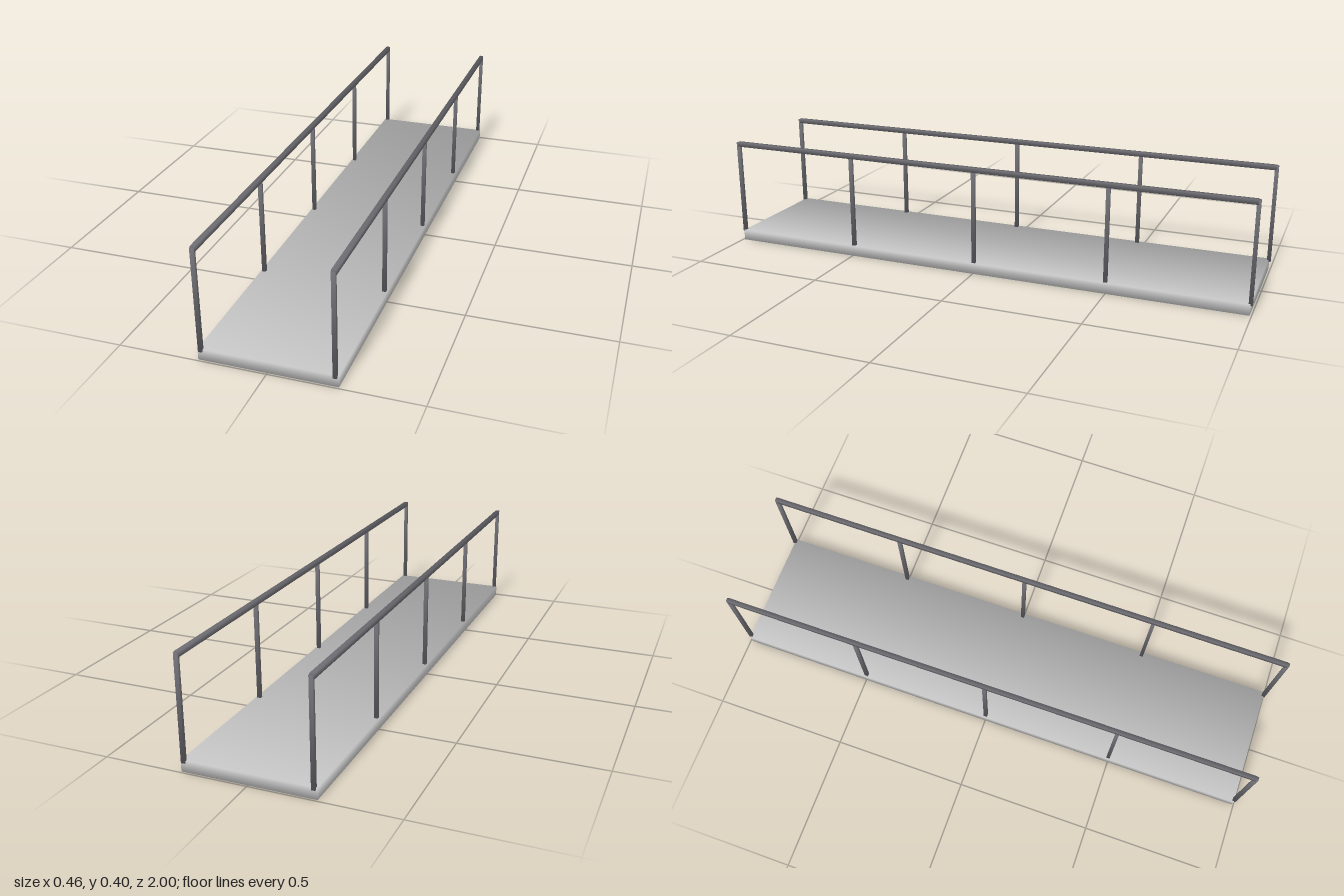
import * as THREE from 'three';
import { mergeVertices } from 'three/addons/utils/BufferGeometryUtils.js';

const deckMaterial = new THREE.MeshStandardMaterial({ color: 0xcccccc });
const railMaterial = new THREE.MeshStandardMaterial({ color: 0x707076 });

// Box with shared corners; each normal points diagonally out of its corner,
// so the shading runs smoothly over every edge
function softBox(name, size, position, material) {
  const cube = new THREE.BoxGeometry(1, 1, 1);
  cube.deleteAttribute('normal');
  cube.deleteAttribute('uv');
  const geometry = mergeVertices(cube);
  geometry.computeVertexNormals();
  const normals = geometry.attributes.position.clone();
  geometry.setAttribute('normal', normals);
  geometry.normalizeNormals();
  geometry.attributes.position.applyMatrix4(new THREE.Matrix4().makeScale(...size));
  const mesh = new THREE.Mesh(geometry, material);
  mesh.name = name;
  mesh.position.set(...position);
  return mesh;
}

export function createModel() {
  const model = new THREE.Group();
  model.name = 'footbridge';
  const length = 1.987;
  const postWidth = 0.013;

  // Walkway slab
  model.add(softBox('deck', [0.46, 0.04, length], [0, 0.02, 0], deckMaterial));

  // A railing along each side: five posts under one handrail,
  // the end posts standing half a post beyond the slab
  for (const side of [1, -1]) {
    const railing = new THREE.Group();
    railing.name = side > 0 ? 'leftRailing' : 'rightRailing';
    railing.position.x = side * 0.219;
    railing.add(softBox('handrail', [0.015, 0.018, length], [0, 0.391, 0], railMaterial));
    for (let i = -2; i <= 2; i++) {
      railing.add(softBox('post', [postWidth, 0.365, postWidth], [0, 0.2155, i * length / 4], railMaterial));
    }
    model.add(railing);
  }
  return model;
}
